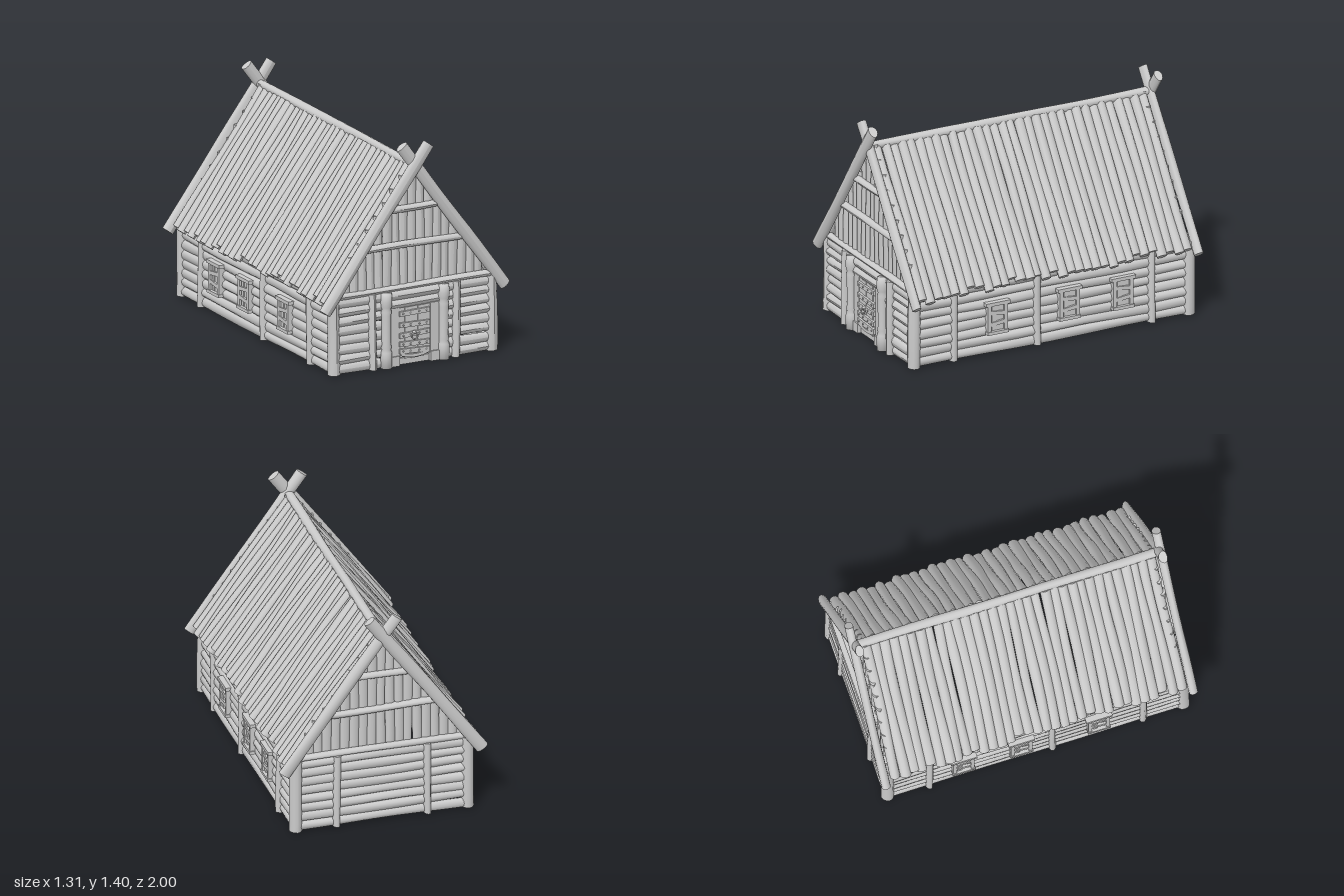
import * as THREE from 'three';

const mat = new THREE.MeshStandardMaterial({ color: 0xcccccc, side: THREE.DoubleSide });

// Small seeded random, range -1..1
let state = 7;
const rnd = () => {
  state = (state * 16807) % 2147483647;
  return (state / 2147483647) * 2 - 1;
};

function add(parent, name, geo, x = 0, y = 0, z = 0) {
  const m = new THREE.Mesh(geo, mat);
  m.name = name;
  m.position.set(x, y, z);
  parent.add(m);
  return m;
}

const box = (parent, name, w, h, d, x, y, z) => add(parent, name, new THREE.BoxGeometry(w, h, d), x, y, z);

// Hand-hewn log from a to b; rx and rz are its half widths, bend its waviness
function log(parent, name, a, b, rx, rz = rx, bend = 0.004) {
  const A = new THREE.Vector3(...a), B = new THREE.Vector3(...b);
  const dir = B.clone().sub(A), len = dir.length();
  const geo = new THREE.CylinderGeometry(1, 1, len, 12, 8);
  const p = geo.attributes.position;
  const s1 = rnd() * 3, s2 = rnd() * 3, f = 6 + rnd() * 2;
  for (let i = 0; i < p.count; i++) {
    const x = p.getX(i), y = p.getY(i), z = p.getZ(i), t = Math.atan2(z, x);
    const k = 1 + 0.05 * Math.sin(3 * t + s1 + y * 4) + 0.04 * Math.sin(f * y + s2);
    p.setXYZ(i, x * k * rx + bend * Math.sin(f * y + s1), y, z * k * rz + bend * Math.sin(f * y * 0.8 + s2));
  }
  geo.computeVertexNormals();
  const m = add(parent, name, geo);
  m.position.copy(A).add(B).multiplyScalar(0.5);
  m.quaternion.setFromUnitVectors(new THREE.Vector3(0, 1, 0), dir.normalize());
  return m;
}

function group(parent, name) {
  const g = new THREE.Group();
  g.name = name;
  parent.add(g);
  return g;
}

const RIDGE = 1.245, SLOPE = 1.364; // roof line: y = RIDGE - SLOPE * |x|
const ROWS = 8, STEP = 0.059;

function buildWalls(root) {
  const g = group(root, 'walls');
  for (let i = 0; i < ROWS; i++) {
    const y = STEP * (i + 0.5);
    for (const s of [-1, 1]) log(g, 'sideWallLog', [s * 0.537, y, -0.92], [s * 0.537, y, 0.92], 0.027, 0.031, 0.003);
    log(g, 'backWallLog', [-0.53, y, -0.935], [0.53, y, -0.935], 0.031, 0.027, 0.003);
    // the front logs leave room for the doorway
    for (const s of [-1, 1]) log(g, 'frontWallLog', [s * 0.17, y, 0.93], [s * 0.53, y, 0.93], 0.031, 0.027, 0.003);
  }
  for (const s of [-1, 1]) {
    for (const z of [-0.94, 0.93]) log(g, 'cornerPost', [s * 0.54, 0, z], [s * 0.54, 0.475, z], 0.038, 0.038, 0.002);
    for (const z of [-0.68, 0.1, 0.67]) log(g, 'sidePost', [s * 0.548, 0, z], [s * 0.548, 0.475, z], 0.034, 0.024);
    for (const z of [-0.95, 0.95]) log(g, 'gablePost', [s * 0.285, 0, z], [s * 0.285, 0.475, z], 0.023, 0.03);
  }
}

function buildWindow(root, s, z) {
  const g = group(root, 'window');
  g.position.set(s * 0.541, 0, z);
  box(g, 'windowHead', 0.108, 0.022, 0.165, 0, 0.328, 0);
  box(g, 'windowSill', 0.108, 0.02, 0.145, 0, 0.142, 0);
  for (const k of [-1, 1]) box(g, 'windowJamb', 0.096, 0.175, 0.022, 0, 0.235, k * 0.056);
  box(g, 'windowPanel', 0.064, 0.17, 0.1, 0, 0.235, 0);
  box(g, 'shutterBoard', 0.078, 0.16, 0.03, 0, 0.235, s * 0.022);
  for (const [y, tilt] of [[0.2, 0.12], [0.265, -0.1]]) {
    box(g, 'windowSlat', 0.092, 0.024, 0.096, 0, y, 0).rotation.x = tilt;
  }
}

function buildGable(root, s) {
  const g = group(root, s > 0 ? 'frontGable' : 'backGable');
  // upright boards cut to the slope of the roof
  const n = 17, w = 0.96 / n;
  for (let i = 0; i < n; i++) {
    const x = -0.48 + w * (i + 0.5);
    const top = RIDGE - SLOPE * Math.abs(x) + 0.01;
    log(g, 'gableBoard', [x, 0.47, s * 0.915], [x, top, s * 0.915], w * 0.54, 0.02, 0.003);
  }
  for (const [y, half, r] of [[0.485, 0.52, 0.02], [0.75, 0.345, 0.021], [0.98, 0.18, 0.021]]) {
    log(g, 'gableBeam', [-half, y, s * 0.94], [half, y, s * 0.94], r, 0.025, 0.004);
  }
  // crossed rafters rising past the ridge
  for (const k of [-1, 1]) {
    const z = s * (0.96 + (k < 0 ? 0.006 : -0.006) + (s < 0 ? 0.01 : 0));
    log(g, 'crossedRafter', [k * 0.622, 0.402, z], [-k * 0.088, 1.37, z], 0.039, 0.027, 0.001);
  }
}

function buildRoof(root) {
  const g = group(root, 'roof');
  const n = 33, w = 1.86 / n;
  for (const s of [-1, 1]) {
    for (let i = 0; i < n; i++) {
      const z = -0.93 + w * (i + 0.5), end = 0.588 + rnd() * 0.016;
      log(g, 'roofLog', [s * 0.008, RIDGE - 0.015, z], [s * end, RIDGE - SLOPE * end, z],
        0.029 + rnd() * 0.004, w * (0.56 + rnd() * 0.05), 0.005);
    }
  }
  log(g, 'ridgeBeam', [0, 1.242, -0.95], [0, 1.242, 0.94], 0.029, 0.028, 0.002);
}

function buildDoor(root) {
  const g = group(root, 'doorway');
  // turned pillars
  const profile = [[0, 0], [0.034, 0], [0.036, 0.07], [0.034, 0.1], [0.027, 0.115], [0.033, 0.13], [0.028, 0.15],
    [0.029, 0.33], [0.033, 0.355], [0.027, 0.37], [0.034, 0.385], [0.036, 0.42], [0.033, 0.468], [0, 0.47]]
    .map(([x, y]) => new THREE.Vector2(x, y));
  for (const s of [-1, 1]) {
    add(g, 'doorPillar', new THREE.LatheGeometry(profile, 16), s * 0.197, 0, 0.962);
    box(g, 'doorJamb', 0.06, 0.31, 0.06, s * 0.137, 0.21, 0.93);
    box(g, 'doorFoot', 0.06, 0.062, 0.07, s * 0.137, 0.031, 0.935);
  }
  log(g, 'doorLintel', [-0.18, 0.385, 0.935], [0.18, 0.385, 0.935], 0.031, 0.03, 0.002);
  log(g, 'doorHeader', [-0.18, 0.442, 0.935], [0.18, 0.442, 0.935], 0.033, 0.032, 0.002);
  box(g, 'doorThreshold', 0.22, 0.04, 0.04, 0, 0.02, 0.925);

  // leaf of upright boards with a bowed lower edge
  const bottom = x => 0.035 + 1.7 * x * x;
  for (let i = 0; i < 5; i++) {
    const x = -0.088 + i * 0.044, y0 = bottom(x), h = 0.36 - y0;
    box(g, 'doorBoard', 0.042, h, 0.03, x, y0 + h / 2, 0.94 + (i % 2) * 0.003);
  }
  box(g, 'doorBacking', 0.22, 0.31, 0.02, 0, 0.205, 0.938);

  // cross straps with studs
  const straps = [[0.325, 0.02], [0.25, -0.03], [0.19, 0.04], [0.13, -0.03], [0.085, -0.04]];
  for (const [y, tilt] of straps) {
    const strap = group(g, 'doorStrap');
    strap.position.set(-0.004, y, 0.94);
    strap.rotation.z = tilt;
    box(strap, 'strapBoard', 0.205, 0.03, 0.062, 0, 0, 0);
    for (const x of [-0.08, -0.03, 0.03, 0.08]) {
      add(strap, 'stud', new THREE.SphereGeometry(0.006, 8, 6), x, 0, 0.031);
    }
  }
  // bowed strap along the lower edge
  const bow = new THREE.Shape();
  bow.moveTo(-0.1, 0.07);
  bow.quadraticCurveTo(0, 0.035, 0.1, 0.07);
  bow.lineTo(0.1, 0.052);
  bow.quadraticCurveTo(0, 0.014, -0.1, 0.052);
  add(g, 'bowedStrap', new THREE.ExtrudeGeometry(bow, { depth: 0.05, bevelEnabled: false }), 0, 0.01, 0.918);

  // ring handle
  add(g, 'handleBoss', new THREE.SphereGeometry(0.012, 12, 8), -0.012, 0.2, 0.974);
  add(g, 'handleRing', new THREE.TorusGeometry(0.02, 0.005, 8, 20), -0.012, 0.18, 0.983).rotation.x = -0.15;
}

export function createModel() {
  state = 7;
  const root = new THREE.Group();
  root.name = 'logHouse';
  buildWalls(root);
  for (const s of [-1, 1]) {
    for (const z of [-0.47, -0.105, 0.385]) buildWindow(root, s, z);
    buildGable(root, s);
  }
  buildRoof(root);
  buildDoor(root);
  return root;
}
